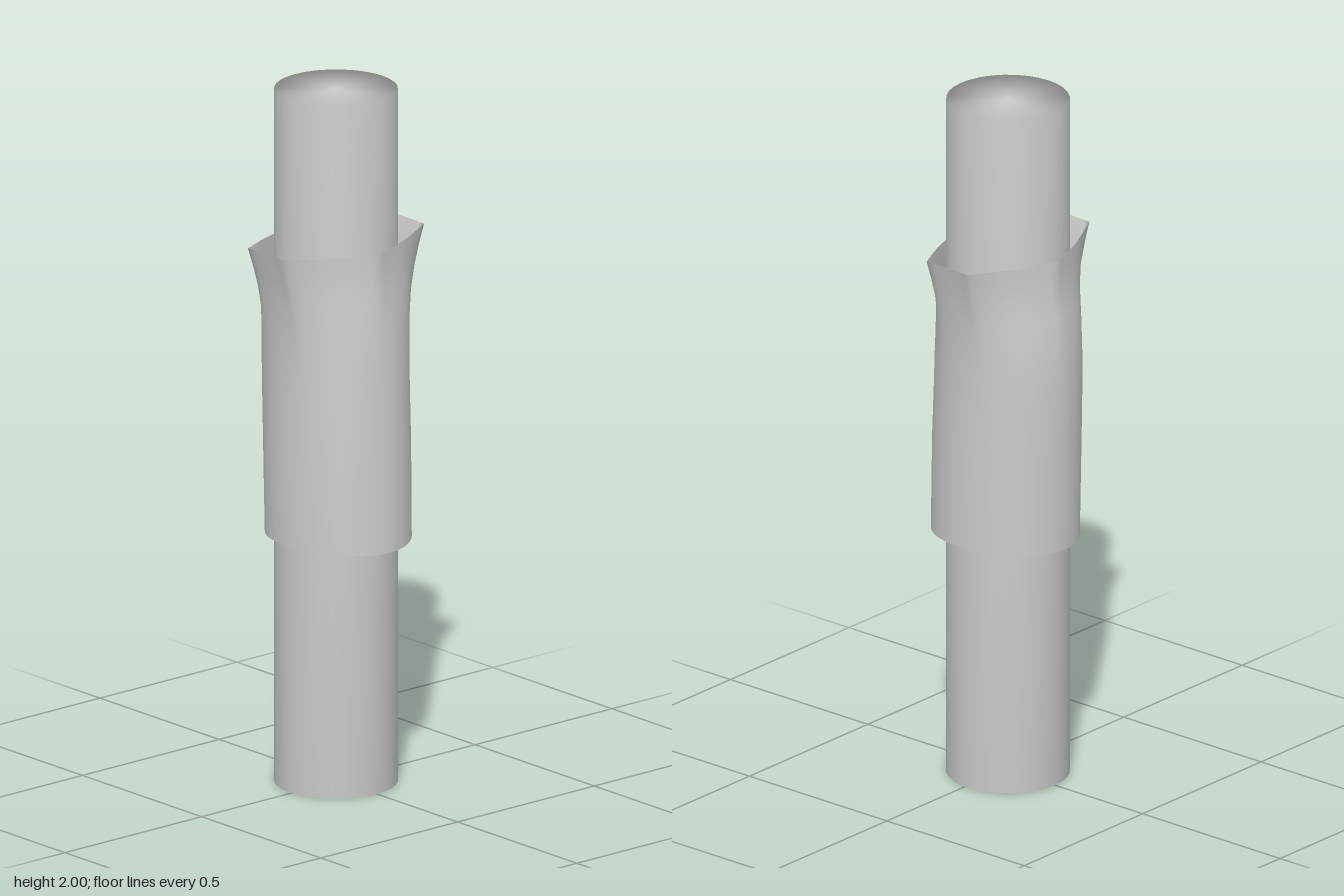
import * as THREE from 'three';
import { mergeVertices } from 'three/addons/utils/BufferGeometryUtils.js';

const grey = new THREE.MeshStandardMaterial({ color: 0xcccccc, side: THREE.DoubleSide });
grey.name = 'light grey';

// Straight rod with normals blended over the rims
function rodGeometry() {
  const g = new THREE.CylinderGeometry(0.171, 0.171, 2, 32);
  g.deleteAttribute('normal');
  g.deleteAttribute('uv');
  const merged = mergeVertices(g, 1e-4);
  merged.computeVertexNormals();
  return merged;
}

// Radius of a unit hexagon-like rim with flat front and back
function rimRadius(a) {
  const c = Math.abs(Math.cos(a)), s = Math.abs(Math.sin(a));
  const side = 1 / (c + 0.586 * s);
  const t = Math.atan2(s, c) / (Math.PI * 0.375);
  if (t >= 1) return 1 / s;
  return side * (1 + 0.05 * Math.sin(Math.PI * t));
}

// Open sleeve: round at the bottom, flared to a hexagonal rim at the top
function sleeveGeometry() {
  // height, left x, right x, half depth, share of the hexagonal rim
  const rings = [
    [0.715, -0.214, 0.213, 0.194, 0],
    [0.85, -0.215, 0.209, 0.197, 0],
    [1.0, -0.217, 0.205, 0.199, 0],
    [1.15, -0.218, 0.197, 0.201, 0],
    [1.25, -0.216, 0.192, 0.205, 0.06],
    [1.33, -0.21, 0.186, 0.211, 0.18],
    [1.4, -0.2, 0.179, 0.22, 0.36],
    [1.46, -0.191, 0.172, 0.23, 0.58],
    [1.52, -0.19, 0.17, 0.243, 0.82],
    [1.568, -0.19, 0.17, 0.257, 1],
  ];
  const n = 64, pos = [], index = [];
  rings.forEach(([y, left, right, depth, mix], j) => {
    const cx = (left + right) / 2, rx = (right - left) / 2;
    const wave = j === 0 || j === rings.length - 1 ? 0.006 : 0;
    for (let i = 0; i < n; i++) {
      const a = (i / n) * Math.PI * 2;
      const r = 1 + (rimRadius(a) - 1) * mix;
      pos.push(cx + Math.cos(a) * r * rx, y - wave * Math.cos(2 * a), Math.sin(a) * r * depth);
      if (j < rings.length - 1) {
        const p = j * n + i, q = j * n + (i + 1) % n;
        index.push(p, p + n, q, q, p + n, q + n);
      }
    }
  });
  const g = new THREE.BufferGeometry();
  g.setAttribute('position', new THREE.Float32BufferAttribute(pos, 3));
  g.setIndex(index);
  g.computeVertexNormals();
  return g;
}

export function createModel() {
  const model = new THREE.Group();
  model.name = 'sleevedRod';
  const rod = new THREE.Mesh(rodGeometry(), grey);
  rod.name = 'rod';
  rod.position.set(-0.01, 1, 0);
  const sleeve = new THREE.Mesh(sleeveGeometry(), grey);
  sleeve.name = 'sleeve';
  model.add(rod, sleeve);
  return model;
}
